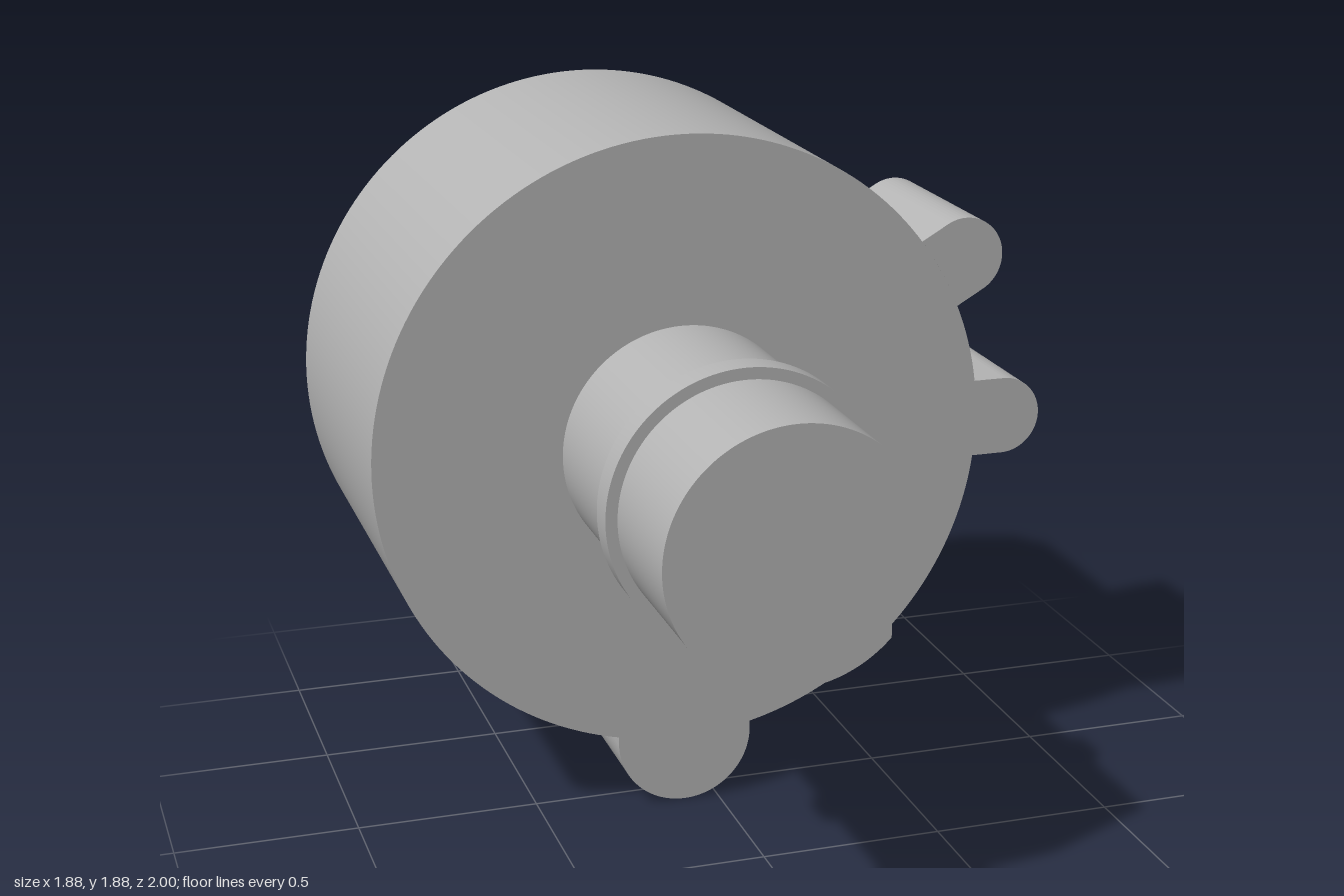
import * as THREE from 'three';
import { toCreasedNormals } from 'three/addons/utils/BufferGeometryUtils.js';

const CX = -0.094, CY = 1.035; // main axis
const R = 0.846;               // housing radius
const LUGS = [                 // full-length lugs: angle, cap centre distance, cap radius
  { angle: -Math.PI / 2, dist: 0.845, r: 0.19 },
  { angle: 0, dist: 0.926, r: 0.108 },
];

// Point at (along, across) in a frame turned by angle
const turn = (angle, a, b) => [
  a * Math.cos(angle) - b * Math.sin(angle),
  a * Math.sin(angle) + b * Math.cos(angle),
];

// Straight sides and a rounded cap, walked counter-clockwise
function addLug(shape, { angle, dist, r }, radius) {
  const root = Math.sqrt(radius * radius - r * r);
  shape.lineTo(...turn(angle, root, -r));
  shape.lineTo(...turn(angle, dist, -r));
  shape.absarc(...turn(angle, dist, 0), r, angle - Math.PI / 2, angle + Math.PI / 2, false);
  shape.lineTo(...turn(angle, root, r));
}

// Round housing outline with lugs, shrunk by an inset
function housingShape(inset) {
  const radius = R - inset;
  const lugs = LUGS.map((l) => ({ ...l, r: l.r - inset }));
  const half = lugs.map((l) => Math.asin(l.r / radius));
  const shape = new THREE.Shape();
  shape.moveTo(...turn(lugs[0].angle, Math.sqrt(radius ** 2 - lugs[0].r ** 2), -lugs[0].r));
  lugs.forEach((lug, i) => {
    addLug(shape, lug, radius);
    const next = i + 1 < lugs.length ? lugs[i + 1].angle : lugs[0].angle + Math.PI * 2;
    shape.absarc(0, 0, radius, lug.angle + half[i], next - half[(i + 1) % lugs.length], false);
  });
  return shape;
}

// Short lug whose root follows the housing wall
function shortLugShape() {
  const lug = { angle: Math.PI / 6, dist: 0.924, r: 0.108 };
  const half = Math.asin(lug.r / R);
  const shape = new THREE.Shape();
  shape.moveTo(...turn(lug.angle, R * Math.cos(half), -lug.r));
  addLug(shape, lug, R);
  shape.absarc(0, 0, R, lug.angle + half, lug.angle - half, true);
  return shape;
}

// Round shaft with one flat side
function shaftShape() {
  const a = Math.acos(0.244 / 0.335);
  const shape = new THREE.Shape();
  shape.absarc(0, 0, 0.335, a, Math.PI * 2 - a, false);
  shape.closePath();
  return shape;
}

function discShape(radius) {
  const shape = new THREE.Shape();
  shape.absarc(0, 0, radius, 0, Math.PI * 2, false);
  return shape;
}

export function createModel() {
  const group = new THREE.Group();
  const grey = new THREE.MeshStandardMaterial({ color: 0xb4b4b4 });
  grey.name = 'plain grey';

  const add = (name, shape, zBack, zFront) => {
    const geo = new THREE.ExtrudeGeometry(shape, {
      depth: zFront - zBack, bevelEnabled: false, curveSegments: 64,
    });
    const mesh = new THREE.Mesh(toCreasedNormals(geo, Math.PI / 7), grey);
    mesh.name = name;
    mesh.position.set(CX, CY, zBack);
    group.add(mesh);
  };

  // Housing with two stepped rims at the back
  add('housing', housingShape(0), -0.925, 0.09);
  add('backStepOuter', housingShape(0.018), -0.96, -0.925);
  add('backStepInner', housingShape(0.036), -1, -0.96);
  add('shortLug', shortLugShape(), -0.45, 0.09);

  // Drive shaft and its collar
  add('shaft', shaftShape(), 0.09, 1);
  add('collar', discShape(0.366), 0.54, 0.62);
  return group;
}
